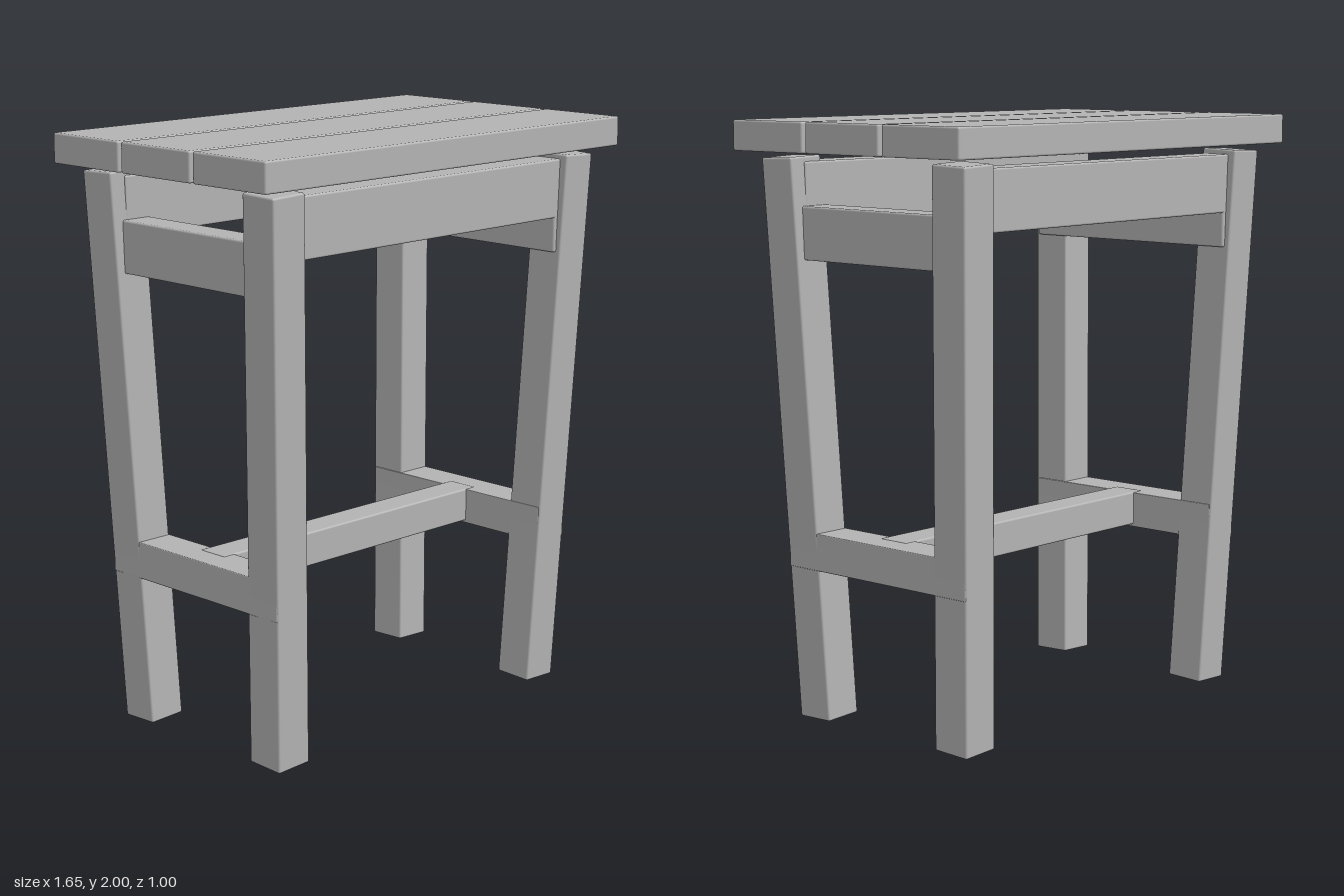
import * as THREE from 'three';
import { RoundedBoxGeometry } from 'three/addons/geometries/RoundedBoxGeometry.js';

const wood = new THREE.MeshStandardMaterial({ color: 0xb3b3b3 });
wood.name = 'plainWood';

// A timber with slightly eased edges, given its size and centre
function timber(name, [w, h, d], [x, y, z], radius = 0.007) {
  const mesh = new THREE.Mesh(new RoundedBoxGeometry(w, h, d, 2, radius), wood);
  mesh.name = name;
  mesh.position.set(x, y, z);
  return mesh;
}

export function createModel() {
  const stool = new THREE.Group();
  stool.name = 'stool';

  // Seat of three planks with narrow gaps
  for (const i of [-1, 0, 1]) {
    stool.add(timber('seatPlank', [1.654, 0.1, 0.324], [0, 1.95, i * 0.338]));
  }

  // Four legs splayed outwards towards the top
  const up = new THREE.Vector3(0, 1, 0);
  for (const sx of [-1, 1]) {
    for (const sz of [-1, 1]) {
      const foot = new THREE.Vector3(sx * 0.607, 0.005, sz * 0.312);
      const head = new THREE.Vector3(sx * 0.682, 1.881, sz * 0.381);
      const axis = head.clone().sub(foot);
      const mid = head.clone().add(foot).multiplyScalar(0.5);
      const leg = timber('leg', [0.134, axis.length(), 0.138], mid.toArray());
      leg.quaternion.setFromUnitVectors(up, axis.normalize());
      stool.add(leg);
    }
  }

  for (const s of [-1, 1]) {
    // Long aprons at front and back, tenoned into the legs
    stool.add(timber('longApron', [1.38, 0.2, 0.115], [0, 1.766, s * 0.363]));
    // Lower, shorter aprons on the sides
    stool.add(timber('sideApron', [0.115, 0.175, 0.84], [s * 0.647, 1.635, 0]));
    // Side stretchers, flush with the outside of the legs
    stool.add(timber('sideStretcher', [0.134, 0.125, 0.796], [s * 0.63, 0.582, 0], 0.003));
  }

  // Centre stretcher joining the two side stretchers
  stool.add(timber('centreStretcher', [1.22, 0.118, 0.115], [0, 0.588, 0]));

  return stool;
}
